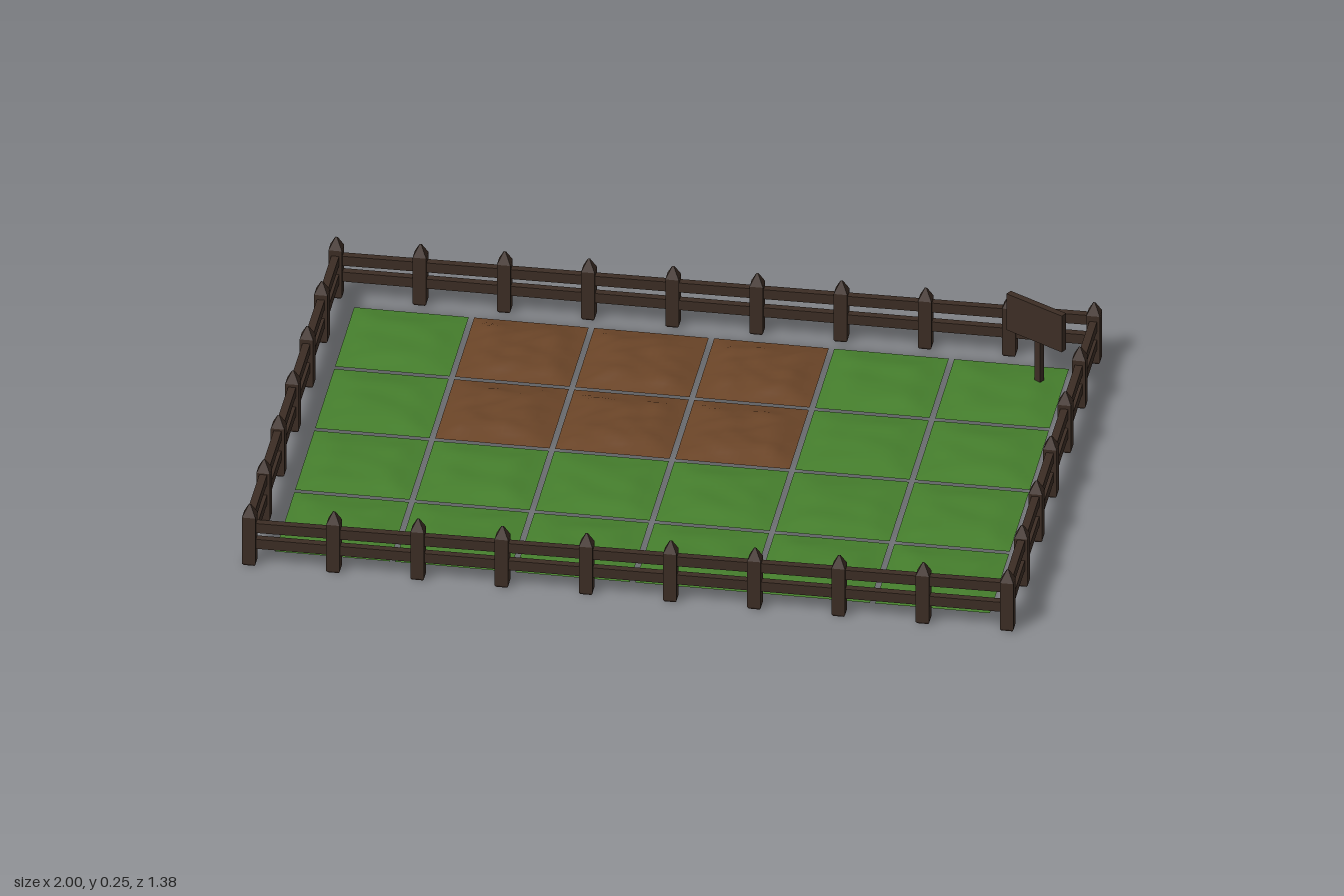
import * as THREE from 'three';

const wood = new THREE.MeshStandardMaterial({ color: 0x3c2d24, flatShading: true });
const grass = new THREE.MeshStandardMaterial({ color: 0x467f2d, side: THREE.DoubleSide });
const soil = new THREE.MeshStandardMaterial({ color: 0x6b4528, side: THREE.DoubleSide });

const HALF_X = 0.982, HALF_Z = 0.67;

function add(parent, name, geometry, material, x = 0, y = 0, z = 0) {
  const mesh = new THREE.Mesh(geometry, material);
  mesh.name = name;
  mesh.position.set(x, y, z);
  parent.add(mesh);
  return mesh;
}

// Square post with a chamfered foot and a pyramid tip
function postGeometry() {
  const profile = [[0, 0], [0.014, 0], [0.0175, 0.006], [0.0175, 0.143], [0.003, 0.173], [0, 0.175]]
    .map(([r, y]) => new THREE.Vector2(r * Math.SQRT2, y));
  return new THREE.LatheGeometry(profile, 4).rotateY(Math.PI / 4);
}

// Slightly tilted rail between two points
function addRail(parent, name, a, b) {
  const rail = add(parent, name, new THREE.BoxGeometry(0.02, 0.028, a.distanceTo(b)), wood);
  rail.position.copy(a).add(b).multiplyScalar(0.5);
  rail.lookAt(b);
}

// Square patch of ground: rim near the floor, gently lumpy middle
function patchGeometry(cx, cz, height, bump, freq) {
  const size = 0.297, half = size / 2;
  const geo = new THREE.PlaneGeometry(size, size, 16, 16).rotateX(-Math.PI / 2);
  const p = geo.attributes.position;
  for (let i = 0; i < p.count; i++) {
    const x = p.getX(i), z = p.getZ(i);
    const edge = half - Math.max(Math.abs(x), Math.abs(z));
    const ramp = THREE.MathUtils.smoothstep(edge, -0.01, 0.08);
    const u = (x + cx) * freq, v = (z + cz) * freq;
    const lumps = Math.sin(u + 1.7 * Math.sin(v * 0.8)) * Math.cos(v * 1.1 + Math.sin(u * 0.6));
    p.setY(i, 0.004 + ramp * (height + bump * lumps));
  }
  geo.computeVertexNormals();
  return geo;
}

export function createModel() {
  const model = new THREE.Group();
  model.name = 'fencedGarden';

  // Ground: 6 x 4 patches, six of them bare soil
  const ground = new THREE.Group();
  ground.name = 'ground';
  model.add(ground);
  for (let row = 0; row < 4; row++) {
    for (let col = 0; col < 6; col++) {
      const x = (col - 2.5) * 0.311, z = (row - 1.5) * 0.309;
      const isSoil = row < 2 && col >= 1 && col <= 3;
      const geo = isSoil ? patchGeometry(x, z, 0.018, 0.005, 45) : patchGeometry(x, z, 0.011, 0.003, 24);
      add(ground, isSoil ? 'soilPatch' : 'grassPatch', geo, isSoil ? soil : grass, x, 0, z);
    }
  }

  // Fence posts
  const fence = new THREE.Group();
  fence.name = 'fence';
  model.add(fence);
  const post = postGeometry();
  for (const side of [-1, 1]) {
    for (let i = 0; i < 10; i++) {
      add(fence, 'fencePost', post, wood, -HALF_X + i * HALF_X * 2 / 9, 0, side * HALF_Z);
    }
    for (let i = 1; i < 6; i++) {
      add(fence, 'fencePost', post, wood, side * HALF_X, 0, -HALF_Z + i * HALF_Z / 3);
    }
  }

  // Fence rails, two per side
  const V = (x, y, z) => new THREE.Vector3(x, y, z);
  for (const side of [-1, 1]) {
    const z = side * HALF_Z, x = side * HALF_X;
    addRail(fence, 'upperRail', V(-HALF_X, 0.11, z), V(HALF_X, 0.126, z));
    addRail(fence, 'lowerRail', V(-HALF_X, 0.063, z), V(HALF_X, 0.067, z));
    addRail(fence, 'upperRail', V(x, 0.113, -HALF_Z), V(x, 0.128, HALF_Z));
    addRail(fence, 'lowerRail', V(x, 0.059, -HALF_Z), V(x, 0.067, HALF_Z));
  }

  // Signboard in the back left corner
  const sign = new THREE.Group();
  sign.name = 'sign';
  sign.position.set(0.857, 0, -0.52);
  sign.rotation.y = -0.5;
  add(sign, 'signBoard', new THREE.BoxGeometry(0.18, 0.108, 0.018), wood, 0, 0.194, 0);
  add(sign, 'signPost', new THREE.BoxGeometry(0.018, 0.2, 0.016), wood, 0, 0.1, -0.012);
  model.add(sign);

  return model;
}
